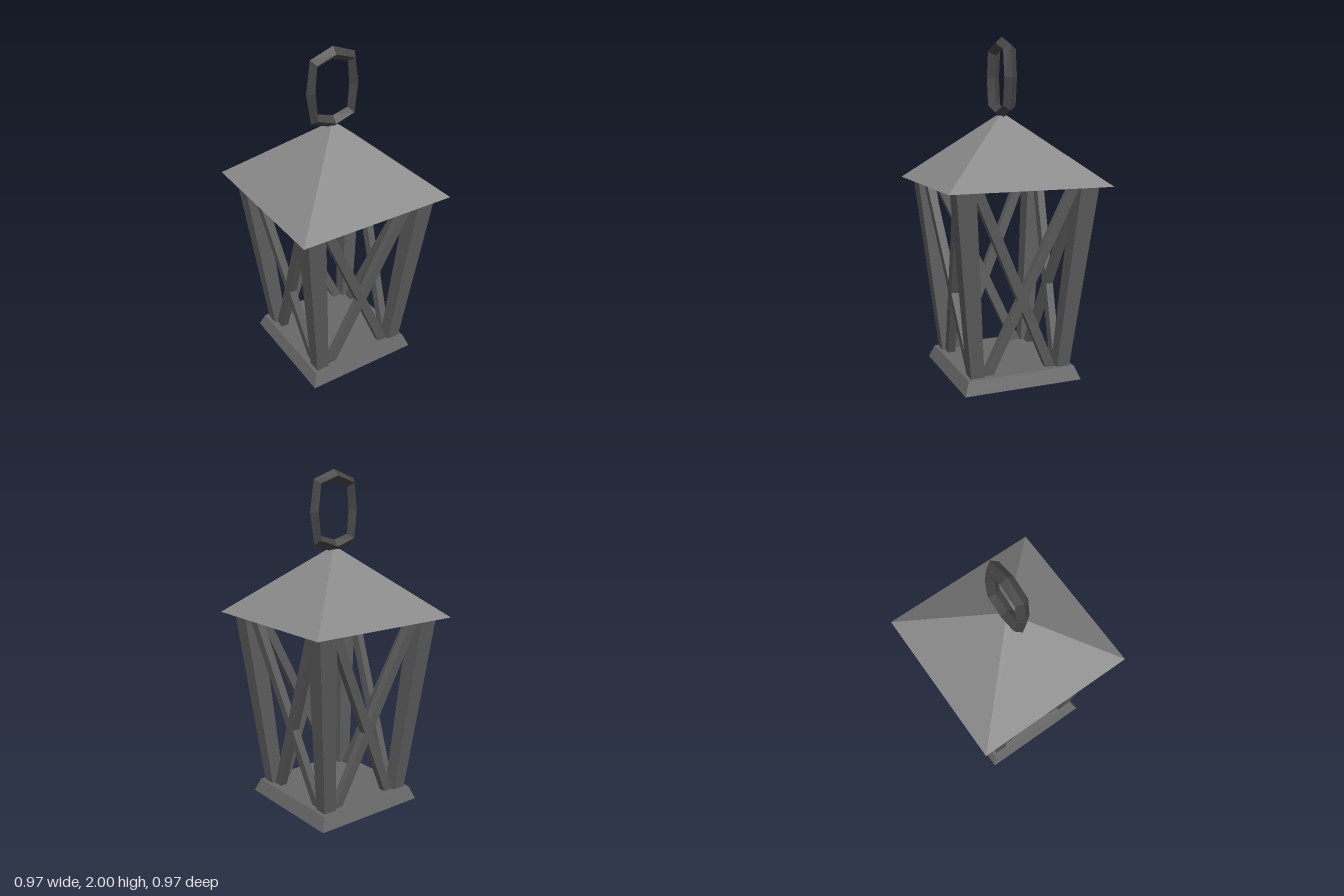
import * as THREE from 'three';

const paint = (color) => new THREE.MeshStandardMaterial({ color, flatShading: true, side: THREE.DoubleSide });
const roofGrey = paint(0x8a8a8a);
const baseGrey = paint(0x686868);
const frameGrey = paint(0x5b5b5b);
const ringGrey = paint(0x454545);

function part(name, geometry, material, parent) {
  const mesh = new THREE.Mesh(geometry, material);
  mesh.name = name;
  parent.add(mesh);
  return mesh;
}

// Four-sided frustum shell, given half widths and heights
function shell(bottomHalf, topHalf, y0, y1) {
  const g = new THREE.CylinderGeometry(topHalf * Math.SQRT2, bottomHalf * Math.SQRT2, y1 - y0, 4, 1, true);
  return g.rotateY(Math.PI / 4).translate(0, (y0 + y1) / 2, 0);
}

function plate(half, y) {
  return new THREE.PlaneGeometry(half * 2, half * 2).rotateX(-Math.PI / 2).translate(0, y, 0);
}

// Leaning box with level ends; a and b are end centres, ha and hb half sizes [x, z]
function beam(a, b, ha, hb) {
  const g = new THREE.BoxGeometry(2, 2, 2);
  const p = g.attributes.position;
  for (let i = 0; i < p.count; i++) {
    const top = p.getY(i) > 0;
    const c = top ? b : a;
    const h = top ? hb : ha;
    p.setXYZ(i, c[0] + p.getX(i) * h[0], c[1], c[2] + p.getZ(i) * h[1]);
  }
  g.computeVertexNormals();
  return g;
}

// Tall eight-sided ring with a diamond cross-section
function ringGeometry() {
  // Side, diagonal and top corners, placed around the ring by sign
  const outer = [[0.17, 0], [0.142, 0.184], [0, 0.237]];
  const inner = [[0.108, 0], [0.098, 0.135], [0, 0.163]];
  const pick = [0, 1, 2, 1, 0, 1, 2, 1];
  const corner = (list, i) => {
    const [x, y] = list[pick[i]];
    return [x * (i < 2 || i > 6 ? 1 : -1), y * (i <= 4 ? 1 : -1)];
  };
  const pos = [];
  const index = [];
  for (let i = 0; i < 8; i++) {
    const o = corner(outer, i);
    const n = corner(inner, i);
    const m = [(o[0] + n[0]) / 2, (o[1] + n[1]) / 2];
    pos.push(...o, 0, ...m, 0.039, ...n, 0, ...m, -0.039);
    for (let j = 0; j < 4; j++) {
      const a = i * 4 + j;
      const b = i * 4 + (j + 1) % 4;
      const c = ((i + 1) % 8) * 4 + j;
      const d = ((i + 1) % 8) * 4 + (j + 1) % 4;
      index.push(a, c, b, b, c, d);
    }
  }
  const g = new THREE.BufferGeometry();
  g.setAttribute('position', new THREE.Float32BufferAttribute(pos, 3));
  g.setIndex(index);
  const flat = g.toNonIndexed();
  flat.computeVertexNormals();
  return flat;
}

export function createModel() {
  const lantern = new THREE.Group();
  lantern.name = 'lantern';

  // Base, open underneath
  const base = new THREE.Group();
  base.name = 'base';
  lantern.add(base);
  part('baseRim', shell(0.36, 0.33, 0, 0.078), baseGrey, base);
  part('basePlate', plate(0.33, 0.078), baseGrey, base);

  // Hollow roof with a tiny flat top
  const roof = new THREE.Group();
  roof.name = 'roof';
  lantern.add(roof);
  part('roofSlopes', shell(0.486, 0.024, 1.156, 1.546), roofGrey, roof);
  part('roofCap', plate(0.024, 1.546), roofGrey, roof);

  // Corner posts, leaning outward and widening upward
  for (const sx of [-1, 1]) {
    for (const sz of [-1, 1]) {
      part('cornerPost', beam(
        [sx * 0.266, 0.05, sz * 0.266], [sx * 0.372, 1.19, sz * 0.372],
        [0.04, 0.04], [0.057, 0.057]), frameGrey, lantern);
    }
  }

  // Crossed braces on each of the four sides
  for (let side = 0; side < 4; side++) {
    const braces = new THREE.Group();
    braces.name = 'crossBraces';
    braces.rotation.y = side * Math.PI / 2;
    for (const s of [-1, 1]) {
      part('brace', beam(
        [s * -0.208, 0.05, 0.266], [s * 0.307, 1.19, 0.37],
        [0.031, 0.022], [0.031, 0.024]), frameGrey, braces);
    }
    lantern.add(braces);
  }

  // Carrying ring
  part('carryingRing', ringGeometry(), ringGrey, lantern).position.y = 1.763;

  return lantern;
}
